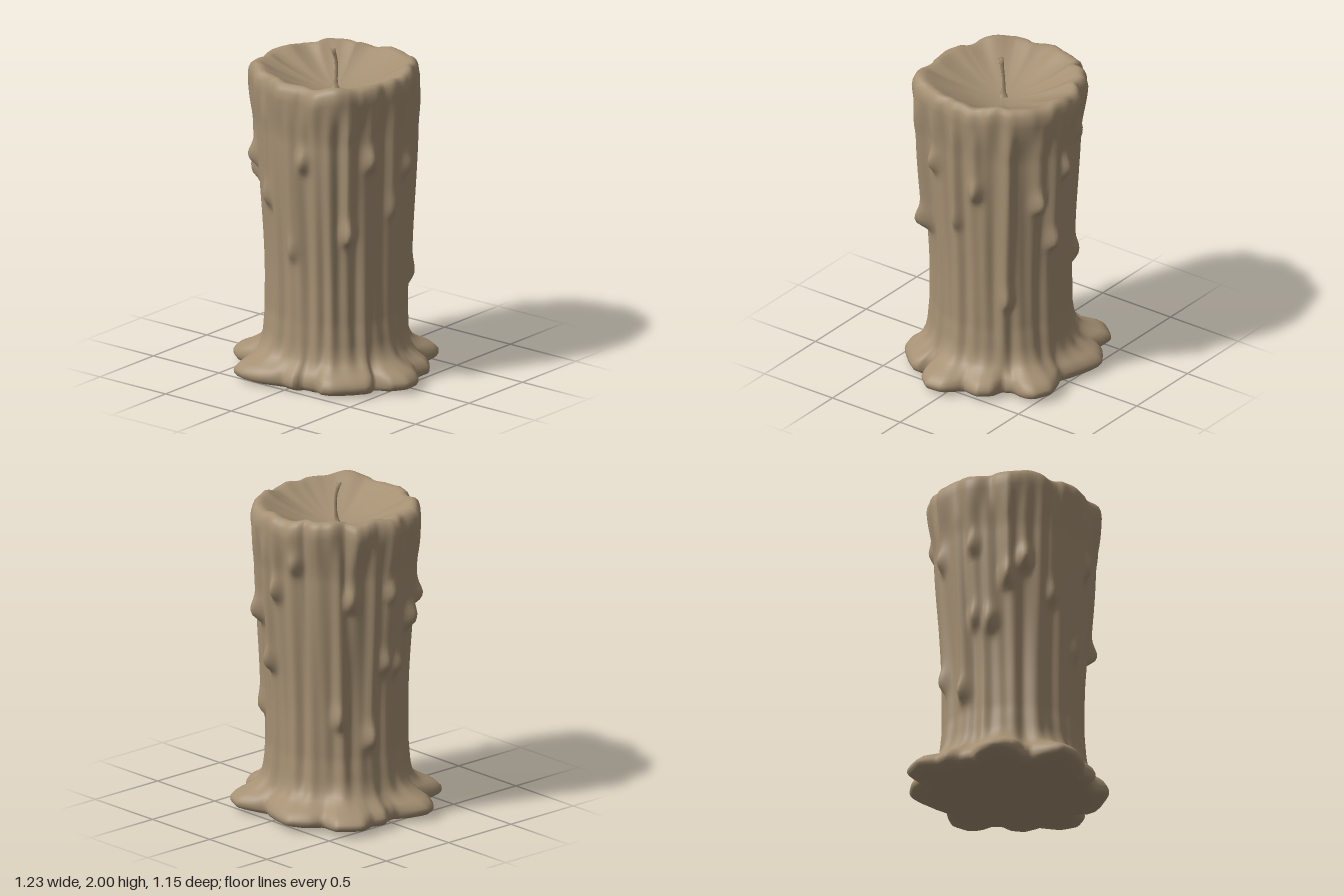
import * as THREE from 'three';

const DEG = Math.PI / 180;
const step = THREE.MathUtils.smoothstep;
const lerp = THREE.MathUtils.lerp;

// Outlines seen from above, as x, z pairs
const FOOT = [
  0.61, -0.01, 0.62, 0.1, 0.55, 0.18, 0.43, 0.2, 0.48, 0.25, 0.48, 0.3, 0.4, 0.4, 0.33, 0.47,
  0.27, 0.49, 0.2, 0.45, 0.1, 0.47, 0.08, 0.52, -0.02, 0.5, -0.15, 0.56, -0.27, 0.57, -0.36, 0.54,
  -0.38, 0.48, -0.38, 0.34, -0.42, 0.31, -0.52, 0.31, -0.59, 0.26, -0.62, 0.19, -0.6, 0.12, -0.53, 0.02,
  -0.54, -0.06, -0.59, -0.12, -0.56, -0.2, -0.6, -0.31, -0.5, -0.44, -0.37, -0.43, -0.33, -0.5, -0.22, -0.58,
  -0.07, -0.55, 0.07, -0.49, 0.15, -0.53, 0.25, -0.56, 0.36, -0.51, 0.38, -0.45, 0.36, -0.36, 0.38, -0.29,
  0.47, -0.28, 0.53, -0.21, 0.51, -0.1,
];
const RIM = [
  0.46, 0, 0.44, 0.1, 0.43, 0.22, 0.39, 0.29, 0.38, 0.36, 0.33, 0.41, 0.28, 0.45, 0.2, 0.48,
  0.08, 0.46, 0, 0.49, -0.1, 0.48, -0.17, 0.45, -0.2, 0.42, -0.3, 0.4, -0.38, 0.35, -0.42, 0.3,
  -0.49, 0.25, -0.49, 0.12, -0.53, 0.06, -0.55, -0.02, -0.49, -0.1, -0.5, -0.18, -0.47, -0.25, -0.4, -0.28,
  -0.36, -0.36, -0.3, -0.42, -0.2, -0.43, -0.18, -0.46, -0.1, -0.49, 0, -0.5, 0.1, -0.49, 0.2, -0.47,
  0.27, -0.42, 0.31, -0.39, 0.37, -0.28, 0.4, -0.22, 0.43, -0.15,
];

// Wax runs: angle in degrees, height of the tip, ridge height, bulb height
const DRIPS = [
  [78, 1.37, 0.02, 0.035], [90, 0.8, 0.02, 0.015], [43, 0.93, 0.045, 0.045], [119, 1.09, 0.03, 0.02],
  [142, 1.28, 0.03, 0.045], [155, 1.17, 0.03, 0.035], [25, 1.38, 0.02, 0.035], [2, 1.06, 0.02, 0.01],
  [-16, 1.28, 0.025, 0.03], [-66, 1.2, 0.035, 0.04], [-80, 0.92, 0.035, 0.03], [-42, 0.56, 0.035, 0.015],
  [-90, 1.38, 0.02, 0.035], [180, 1.37, 0.02, 0.035], [168, 0.9, 0.025, 0.035], [-179, 0.93, 0.025, 0.03],
  [-167, 0.48, 0.03, 0.035], [-108, 1.57, 0.01, 0.03], [-149, 1.36, 0.02, 0.035], [-141, 0.61, 0.025, 0.03],
  [57, 0.1, 0.025, 0], [130, 0.15, 0.02, 0],
];

// Radius of an outline at any angle
function polar(flat) {
  const pts = [];
  for (let i = 0; i < flat.length; i += 2) {
    const a = (Math.atan2(flat[i + 1], flat[i]) + 2 * Math.PI) % (2 * Math.PI);
    pts.push([a, Math.hypot(flat[i], flat[i + 1])]);
  }
  pts.sort((p, q) => p[0] - q[0]);
  const first = pts[0], last = pts[pts.length - 1];
  pts.unshift([last[0] - 2 * Math.PI, last[1]]);
  pts.push([first[0] + 2 * Math.PI, first[1]]);
  return (a) => curve(pts, a);
}

// Piecewise linear curve through [x, y] pairs
function curve(pairs, x) {
  const k = pairs.findIndex((p) => p[0] >= x);
  if (k < 0) return pairs[pairs.length - 1][1];
  if (k === 0) return pairs[0][1];
  const [x0, y0] = pairs[k - 1], [x1, y1] = pairs[k];
  return lerp(y0, y1, (x - x0) / (x1 - x0 || 1));
}

// Closed rings joined from bottom to top; point(row, angle) gives [x, y, z]
function loft(rows, cols, point) {
  const pos = [], index = [];
  for (let i = 0; i < rows; i++) {
    for (let j = 0; j < cols; j++) pos.push(...point(i, (j / cols) * 2 * Math.PI));
  }
  for (let i = 0; i < rows - 1; i++) {
    for (let j = 0; j < cols; j++) {
      const a = i * cols + j, b = i * cols + ((j + 1) % cols);
      index.push(a, a + cols, b, b, a + cols, b + cols);
    }
  }
  const g = new THREE.BufferGeometry();
  g.setAttribute('position', new THREE.Float32BufferAttribute(pos, 3));
  g.setIndex(index);
  g.computeVertexNormals();
  return g;
}

const footR = polar(FOOT);
const rimOutline = polar(RIM);
const rimR = (a) => rimOutline(a) + 0.005 * Math.sin(23 * a);
const SPREAD = [[0, 0.45], [0.012, 0.78], [0.025, 0.93], [0.045, 1], [0.07, 0.98], [0.105, 0.83], [0.13, 0.58],
  [0.16, 0.34], [0.2, 0.17], [0.26, 0.08], [0.4, 0]];

// The underside tips up slightly away from its resting point
const lift = (a) => 0.006 * (1 - Math.cos(a - 1));

// Outer radius of the wax at an angle and height
function sideRadius(a, y) {
  let core = 0.409 + 0.007 * Math.sin(17 * a + 0.6 * y) + 0.006 * Math.sin(27 * a + 1 - 0.8 * y);
  core -= 0.01 * Math.cos(a);
  const t = 0.55 * step(y, 0.6, 1.6) + 0.45 * step(y, 1.52, 1.84);
  let r = lerp(core, rimR(a), t);
  let bump = 0;
  for (const [deg, end, ridge, bulb] of DRIPS) {
    let d = Math.abs(a / DEG - deg) % 360;
    d = Math.min(d, 360 - d);
    if (d > 16) continue;
    const run = ridge * step(y, end - 0.04, end + 0.03) * Math.exp(-((d / 4.5) ** 2));
    const tip = bulb * Math.exp(-(((y - end - 0.06) / 0.07) ** 2)) * Math.exp(-((d / 5) ** 2));
    bump = Math.max(bump, run + tip);
  }
  r += bump * (1 - step(y, 1.6, 1.85));
  return lerp(r, footR(a), curve(SPREAD, y));
}

export function createModel() {
  const model = new THREE.Group();
  const wax = new THREE.MeshStandardMaterial({ color: 0xa59073 });
  wax.name = 'tan wax';
  const add = (name, geometry) => {
    const mesh = new THREE.Mesh(geometry, wax);
    mesh.name = name;
    model.add(mesh);
  };
  const COLS = 200;

  // Side heights, then the rolled rim and hollow top as [scale, height]
  const heights = [0, 0.012, 0.025, 0.04, 0.055, 0.07, 0.085, 0.1, 0.115, 0.13, 0.145, 0.165, 0.19, 0.22];
  for (let y = 0.25; y < 1.83; y += 0.0262) heights.push(y);
  const dish = [[0.99, 1.853], [0.97, 1.877], [0.94, 1.892], [0.9, 1.898], [0.85, 1.89], [0.78, 1.87],
    [0.68, 1.845], [0.55, 1.816], [0.42, 1.79], [0.28, 1.769], [0.13, 1.756], [0.001, 1.752]];
  const side = heights.length;

  add('waxBody', loft(side + dish.length, COLS, (i, a) => {
    const wave = 0.009 * Math.sin(8 * a + 0.5) + 0.007 * Math.sin(13 * a + 2) - 0.01 * Math.cos(4 * a);
    if (i < side) {
      const y = heights[i], r = sideRadius(a, y);
      const rise = lift(a) * (1 - step(y, 0, 0.2));
      return [r * Math.cos(a), y + rise + wave * step(y, 1.6, 1.85), r * Math.sin(a)];
    }
    const [s, h] = dish[i - side];
    const r = lerp(0.48, rimR(a), s) * s;
    return [r * Math.cos(a) - 0.02 * (1 - s), h + wave * s * s * s, r * Math.sin(a)];
  }));

  // Flat underside
  add('underside', loft(2, COLS, (i, a) => {
    const r = i ? sideRadius(a, 0) : 0.001;
    return [r * Math.cos(a), i ? lift(a) : 0.006, r * Math.sin(a)];
  }));

  // Four-sided bent wick: x, height, z, radius for each ring
  const WICK = [[-0.02, 1.74, 0, 0.045], [-0.02, 1.768, 0, 0.022], [-0.018, 1.81, -0.004, 0.013],
    [-0.014, 1.88, -0.004, 0.012], [-0.013, 1.93, 0.002, 0.013], [-0.018, 1.97, 0.012, 0.016],
    [-0.022, 1.995, 0.018, 0.021], [-0.022, 2, 0.018, 0.001]];
  add('wick', loft(WICK.length, 4, (i, a) => {
    const [x, y, z, r] = WICK[i];
    return [x + r * Math.cos(a), y, z + r * Math.sin(a)];
  }));

  return model;
}
